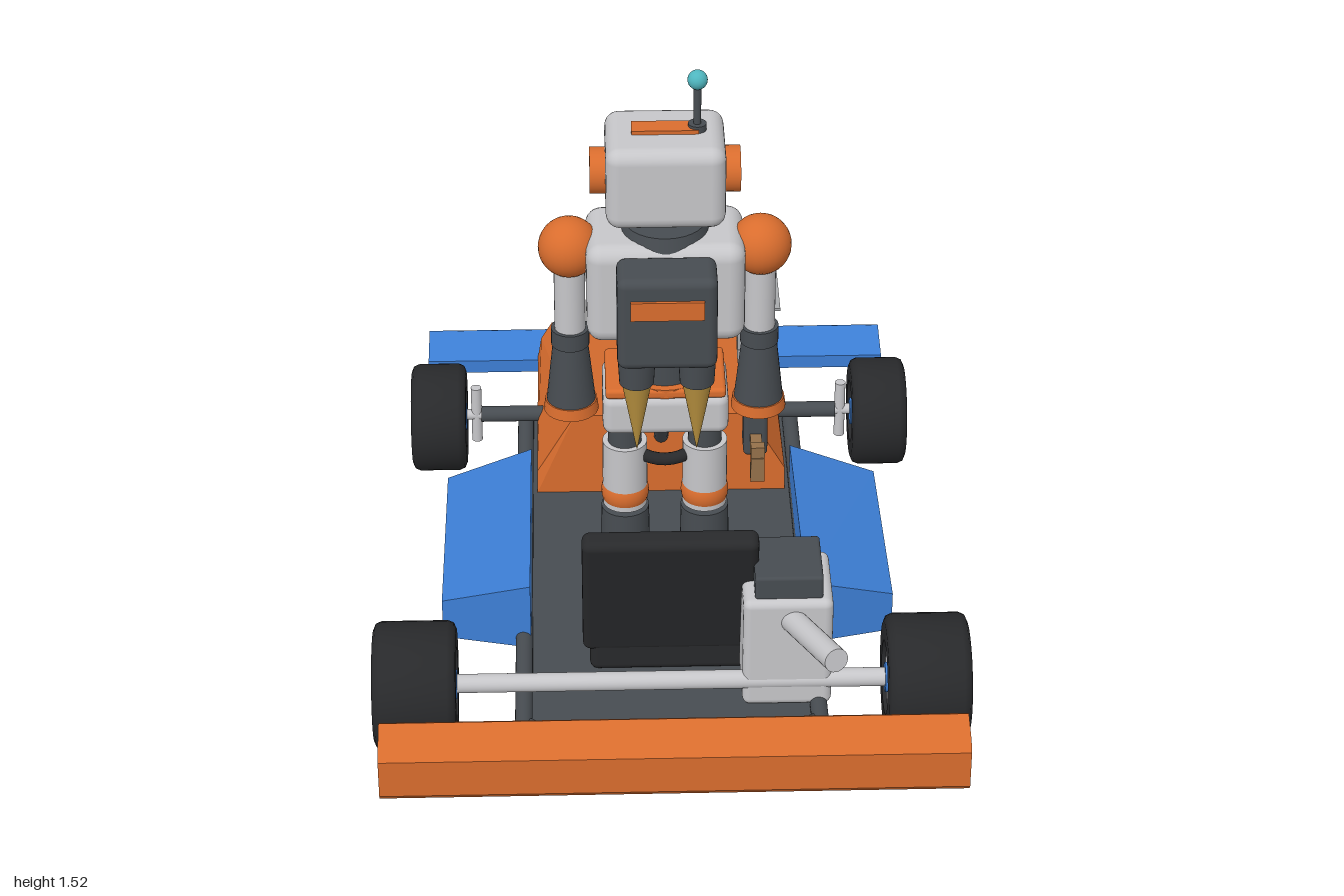
import * as THREE from 'three';
import { toCreasedNormals } from 'three/addons/utils/BufferGeometryUtils.js';
import { RoundedBoxGeometry } from 'three/addons/geometries/RoundedBoxGeometry.js';
import { ConvexGeometry } from 'three/addons/geometries/ConvexGeometry.js';

const mat = (name, color) => {
  const m = new THREE.MeshStandardMaterial({ color });
  m.name = name;
  return m;
};
const M = {
  orange: mat('orange', 0xd96d2e), blue: mat('blue', 0x3d7fd6), light: mat('light grey', 0xc6c6c9),
  dark: mat('dark grey', 0x474c51), black: mat('black', 0x28292b), teal: mat('teal', 0x4fb6bf),
  gold: mat('gold', 0xb8913f), brown: mat('brown', 0x94704a), steel: mat('steel', 0xa9abad),
};
const V = (x, y, z) => new THREE.Vector3(x, y, z);

function add(parent, name, geometry, material, x = 0, y = 0, z = 0) {
  const mesh = new THREE.Mesh(geometry, material);
  mesh.name = name;
  mesh.position.set(x, y, z);
  parent.add(mesh);
  return mesh;
}
// Box given by its min and max on each axis, optionally with rounded edges
function box(parent, name, material, [x0, x1], [y0, y1], [z0, z1], r = 0) {
  const s = [x1 - x0, y1 - y0, z1 - z0];
  const g = r ? new RoundedBoxGeometry(...s, 3, r) : new THREE.BoxGeometry(...s);
  return add(parent, name, g, material, (x0 + x1) / 2, (y0 + y1) / 2, (z0 + z1) / 2);
}
// Round bar from a to b, radius ra at a and rb at b
function rod(parent, name, material, a, b, ra, rb = ra, sides = 24) {
  const d = b.clone().sub(a);
  const mesh = add(parent, name, new THREE.CylinderGeometry(rb, ra, d.length(), sides), material);
  mesh.position.copy(a).addScaledVector(d, 0.5);
  mesh.quaternion.setFromUnitVectors(V(0, 1, 0), d.normalize());
  return mesh;
}
const ball = (parent, name, material, r, x, y, z) =>
  add(parent, name, new THREE.SphereGeometry(r, 28, 20), material, x, y, z);
const hull = (parent, name, material, pts) =>
  add(parent, name, new ConvexGeometry(pts.map((p) => V(...p))), material);
// Profile of [z, y] points stretched evenly across x
const across = (parent, name, material, half, profile) =>
  hull(parent, name, material, profile.flatMap(([z, y]) => [[-half, y, z], [half, y, z]]));

function wheel(parent, name, x, z, r, w) {
  const g = new THREE.Group();
  g.name = name;
  g.position.set(x, r + 0.003, z);
  g.rotation.z = -Math.PI / 2;
  parent.add(g);
  const h = w / 2, b = 0.02, bore = r * 0.58;
  const profile = [[bore, -h], [r - b, -h], [r - b * 0.3, -h + b * 0.3], [r, -h + b],
    [r, h - b], [r - b * 0.3, h - b * 0.3], [r - b, h], [bore, h], [bore, -h]];
  add(g, 'tyre', toCreasedNormals(new THREE.LatheGeometry(
    profile.map((p) => new THREE.Vector2(...p)), 40), 0.9), M.black);
  add(g, 'rim', new THREE.CylinderGeometry(bore, bore, w - 0.02, 32), M.light);
  add(g, 'hub', new THREE.CylinderGeometry(0.036, 0.036, w, 24), M.blue);
}

function buildKart() {
  const k = new THREE.Group();
  k.name = 'kart';
  box(k, 'floor', M.dark, [-0.345, 0.345], [0.068, 0.09], [-0.6, 0.82]);
  box(k, 'rearCrossMember', M.dark, [-0.34, 0.375], [0.07, 0.1], [0.74, 0.82]);
  // Nose: wide at the floor, high at the cockpit, low in front
  hull(k, 'nose', M.orange, [-1, 1].flatMap((s) => [
    [s * 0.325, 0.09, -0.24], [s * 0.325, 0.15, -0.25], [s * 0.225, 0.33, -0.24],
    [s * 0.325, 0.1, -0.88], [s * 0.31, 0.105, -0.93], [s * 0.285, 0.185, -0.925], [s * 0.315, 0.15, -0.9]]));
  across(k, 'frontWing', M.blue, 0.628,
    [[-1, 0.07], [-1, 0.115], [-0.99, 0.119], [-0.865, 0.1], [-0.865, 0.062]]);
  across(k, 'rearBumper', M.orange, 0.695,
    [[0.885, 0.078], [0.885, 0.222], [0.9, 0.232], [0.975, 0.21], [0.995, 0.19], [0.995, 0.09], [0.985, 0.076]]);
  rod(k, 'rearAxle', M.light, V(-0.55, 0.16, 0.66), V(0.55, 0.16, 0.66), 0.023);

  for (const s of [-1, 1]) {
    const side = s > 0 ? 'left' : 'right';
    rod(k, side + 'Rail', M.dark, V(s * 0.357, 0.095, -0.6), V(s * 0.357, 0.095, 0.79), 0.021);
    rod(k, side + 'BumperStay', M.dark, V(s * 0.34, 0.095, 0.74), V(s * 0.34, 0.14, 0.9), 0.015);
    // Side pod falling away outward and forward
    hull(k, side + 'Pod', M.blue, [
      [0.34, 0.07, 0.405], [0.34, 0.257, 0.405], [0.34, 0.07, -0.24], [0.34, 0.19, -0.295], [0.34, 0.13, -0.295],
      [0.56, 0.075, 0.36], [0.56, 0.185, 0.36], [0.56, 0.075, -0.235], [0.56, 0.13, -0.255],
    ].map(([x, y, z]) => [s * x, y, z]));
    wheel(k, side + 'RearWheel', s * 0.617, 0.66, 0.155, 0.2);
    wheel(k, side + 'FrontWheel', s * 0.587, -0.52, 0.143, 0.145);
    rod(k, side + 'FrontAxle', M.dark, V(s * 0.29, 0.15, -0.525), V(s * 0.475, 0.15, -0.525), 0.021);
    rod(k, side + 'Stub', M.light, V(s * 0.47, 0.15, -0.525), V(s * 0.53, 0.15, -0.525), 0.014);
    rod(k, side + 'KingPin', M.light, V(s * 0.488, 0.07, -0.525), V(s * 0.488, 0.235, -0.525), 0.014);
  }

  // Seat
  box(k, 'seatCushion', M.black, [-0.195, 0.195], [0.09, 0.19], [0.19, 0.53], 0.02);
  const back = box(k, 'seatBack', M.black, [-0.212, 0.212], [0.15, 0.54], [0.515, 0.575], 0.02);
  back.rotation.x = 0.24;

  // Engine
  box(k, 'engineBlock', M.light, [0.172, 0.388], [0.09, 0.4], [0.46, 0.68], 0.02);
  box(k, 'engineTop', M.dark, [0.2, 0.363], [0.395, 0.46], [0.487, 0.662], 0.008);
  rod(k, 'exhaust', M.light, V(0.27, 0.332, 0.62), V(0.38, 0.38, 0.88), 0.03);

  // Steering
  rod(k, 'steeringColumn', M.dark, V(0, 0.25, -0.26), V(0, 0.53, 0.045), 0.019);
  const ring = add(k, 'steeringWheel', new THREE.TorusGeometry(0.12, 0.016, 12, 40), M.black, 0, 0.53, 0.045);
  ring.rotation.x = -0.73;
  return k;
}

function buildRobot() {
  const r = new THREE.Group();
  r.name = 'robot';
  r.position.z = 0.1;
  const post = (name, m, x, y0, y1, ra, rb = ra, z = 0) => rod(r, name, m, V(x, y0, z), V(x, y1, z), ra, rb, 28);

  // Head
  box(r, 'head', M.light, [-0.143, 0.143], [1.155, 1.37], [-0.12, 0.118], 0.035);
  box(r, 'headStripe', M.orange, [-0.08, 0.08], [1.36, 1.38], [-0.025, 0.025]);
  rod(r, 'ears', M.orange, V(-0.18, 1.262, 0), V(0.18, 1.262, 0), 0.056, 0.056, 32);
  box(r, 'visorFrame', M.dark, [-0.115, 0.115], [1.215, 1.325], [-0.127, -0.11], 0.006);
  box(r, 'visor', M.teal, [-0.103, 0.103], [1.235, 1.31], [-0.135, -0.12]);
  post('antennaBase', M.dark, 0.077, 1.365, 1.387, 0.022);
  post('antenna', M.dark, 0.077, 1.38, 1.49, 0.009);
  ball(r, 'antennaTip', M.teal, 0.024, 0.077, 1.503, 0);
  post('neck', M.dark, 0, 1.1, 1.17, 0.046);
  post('collar', M.dark, 0, 1.09, 1.127, 0.11, 0.1);

  // Torso
  box(r, 'torso', M.light, [-0.192, 0.192], [0.837, 1.105], [-0.12, 0.118], 0.04);
  box(r, 'chestPlate', M.orange, [-0.1, 0.1], [0.945, 1.05], [-0.137, -0.11]);
  rod(r, 'chestButton', M.teal, V(0, 0.995, -0.12), V(0, 0.995, -0.155), 0.034);
  post('waistRing', M.dark, 0, 0.775, 0.845, 0.1);
  post('waist', M.dark, 0, 0.68, 0.78, 0.08);
  post('belt', M.orange, 0, 0.67, 0.695, 0.1);
  box(r, 'beltBand', M.orange, [-0.148, 0.148], [0.668, 0.695], [-0.1, 0.1], 0.01);
  box(r, 'pelvis', M.light, [-0.155, 0.155], [0.56, 0.672], [-0.1, 0.1], 0.025);

  // Jet pack
  box(r, 'jetPack', M.dark, [-0.12, 0.12], [0.84, 1.09], [0.11, 0.237], 0.022);
  box(r, 'jetPackStripe', M.orange, [-0.088, 0.088], [0.987, 1.037], [0.23, 0.245]);

  for (const s of [-1, 1]) {
    const side = s > 0 ? 'left' : 'right';
    post(side + 'Nozzle', M.dark, s * 0.073, 0.775, 0.85, 0.042, 0.046, 0.18);
    post(side + 'Flame', M.gold, s * 0.073, 0.58, 0.776, 0.001, 0.037, 0.18);
    // Arm
    const a = s * 0.232;
    ball(r, side + 'Shoulder', M.orange, 0.075, a, 1.05, 0);
    post(side + 'UpperArm', M.light, a, 0.81, 1.02, 0.038);
    post(side + 'Elbow', M.dark, a, 0.775, 0.82, 0.047);
    post(side + 'Forearm', M.dark, a, 0.61, 0.78, 0.061, 0.043);
    post(side + 'Cuff', M.orange, a, 0.585, 0.615, 0.068, 0.064);
    // Leg
    const l = s * 0.1;
    post(side + 'Hip', M.dark, l, 0.46, 0.57, 0.042);
    post(side + 'Thigh', M.light, l, 0.3, 0.485, 0.056);
    ball(r, side + 'Knee', M.orange, 0.06, l, 0.335, 0);
    post(side + 'Shin', M.dark, l, 0.05, 0.29, 0.065, 0.06);
    box(r, side + 'Foot', M.light, [l - 0.062, l + 0.062], [0.003, 0.075], [-0.13, 0.078], 0.02);
    box(r, side + 'Toe', M.orange, [l - 0.062, l + 0.062], [0.003, 0.06], [-0.16, -0.105], 0.015);
  }
  box(r, 'grippingHand', M.dark, [0.195, 0.255], [0.455, 0.59], [-0.04, 0.04], 0.012);
  return r;
}

// Long weapon held level beside the robot, pointing forward
function buildPolearm() {
  const p = new THREE.Group();
  p.name = 'polearm';
  p.position.set(0.225, 0.5, 0);
  box(p, 'shaft', M.brown, [-0.014, 0.014], [-0.022, 0.022], [-0.35, 0.25]);
  box(p, 'pommel', M.brown, [-0.017, 0.017], [-0.048, 0.052], [0.22, 0.247]);
  box(p, 'guard', M.orange, [-0.02, 0.02], [-0.09, 0.085], [0.03, 0.05]);
  box(p, 'headSocket', M.steel, [-0.024, 0.024], [-0.035, 0.035], [-0.42, -0.335]);
  rod(p, 'frontSpike', M.steel, V(0, 0, -0.41), V(0, 0, -0.62), 0.03, 0.001, 12);
  for (const s of [-1, 1]) {
    rod(p, 'spikeNeck', M.steel, V(0, s * 0.02, -0.36), V(0, s * 0.09, -0.36), 0.026, 0.022, 12);
  }
  rod(p, 'upperSpike', M.steel, V(0, 0.08, -0.36), V(0, 0.23, -0.36), 0.022, 0.001, 12);
  rod(p, 'lowerSpike', M.steel, V(0, -0.08, -0.36), V(0, -0.19, -0.36), 0.02, 0.016, 12);
  box(p, 'lowerBar', M.brown, [-0.008, 0.008], [-0.182, -0.17], [-0.46, -0.33]);
  box(p, 'blade', M.steel, [-0.096, 0.095], [-0.005, 0.003], [-0.69, -0.475]);
  return p;
}

export function createModel() {
  const model = new THREE.Group();
  model.name = 'robotOnKart';
  model.add(buildKart(), buildRobot(), buildPolearm());
  return model;
}
